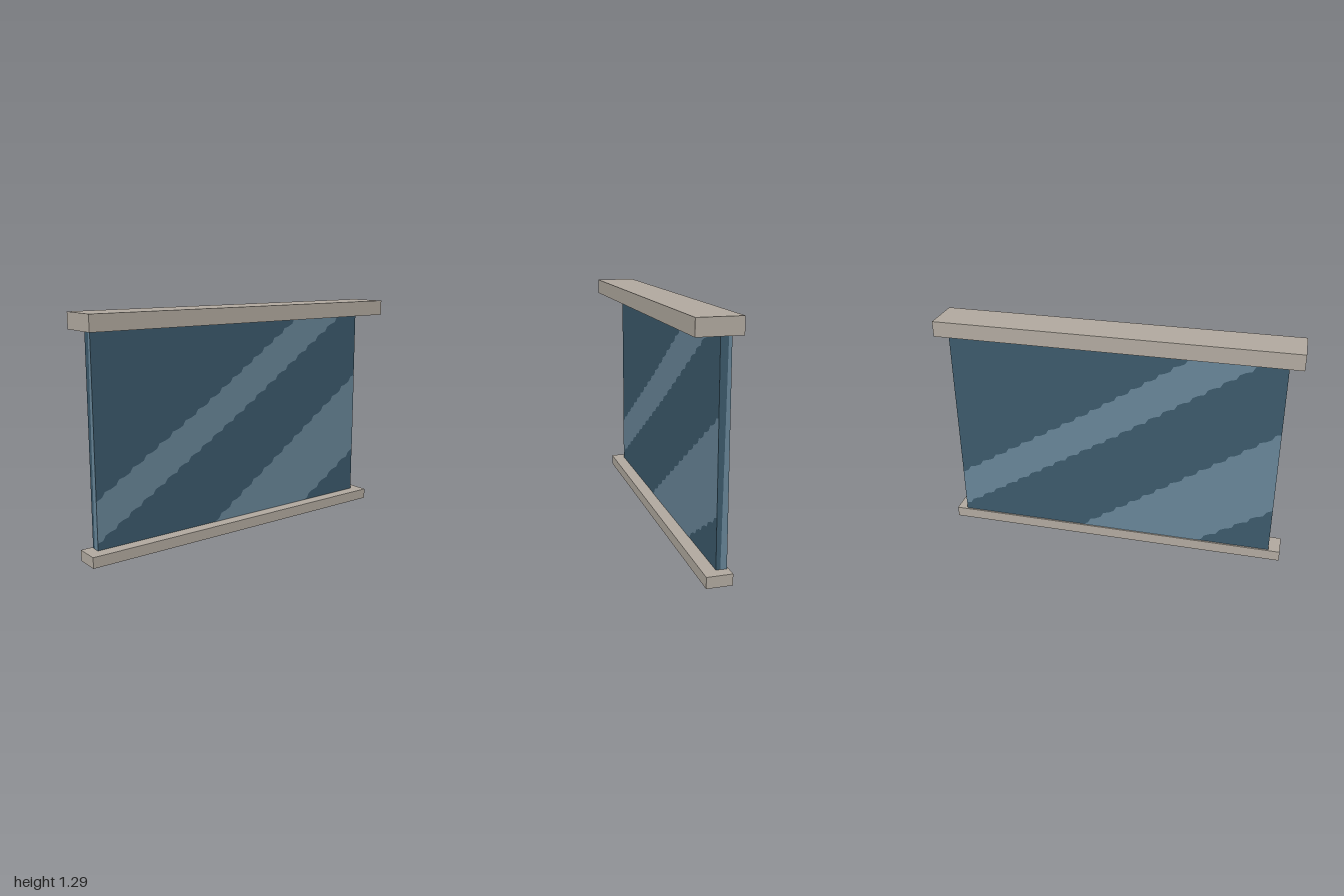
import * as THREE from 'three';

const stone = new THREE.MeshStandardMaterial({ color: 0xb3aba1 });
stone.name = 'warm grey frame';
const darkGlass = new THREE.MeshStandardMaterial({ color: 0x3c5a6c });
darkGlass.name = 'dark blue glass';
const lightGlass = new THREE.MeshStandardMaterial({ color: 0x688699 });
lightGlass.name = 'light blue reflection';

const W = 0.925, Y0 = 0.06, Y1 = 1.205; // pane half width, bottom, top
const ZF = -0.03, ZB = -0.086, LIFT = 0.0015;

// Box given by its limits on each axis
function box(name, mat, [x0, x1], [y0, y1], [z0, z1]) {
  const mesh = new THREE.Mesh(new THREE.BoxGeometry(x1 - x0, y1 - y0, z1 - z0), mat);
  mesh.position.set((x0 + x1) / 2, (y0 + y1) / 2, (z0 + z1) / 2);
  mesh.name = name;
  return mesh;
}

// Softly stepped line from a to b, without its end point
function stepped(a, b) {
  const n = Math.max(1, Math.round(Math.abs(b[0] - a[0]) / 0.08));
  const dx = (b[0] - a[0]) / n, dy = (b[1] - a[1]) / n;
  const pts = [];
  for (let i = 0; i < n; i++) {
    const x = a[0] + dx * i, y = a[1] + dy * i;
    pts.push([x, y], [x + dx * 0.4, y + dy * 0.15], [x + dx * 0.6, y + dy * 0.7]);
  }
  return pts;
}

function flatShape(points) {
  return new THREE.ShapeGeometry(new THREE.Shape(points.map(p => new THREE.Vector2(...p))));
}

// Diagonal reflections, drawn counter-clockwise: lower edge, then upper edge back
const upperBand = flatShape([
  ...stepped([-W, 0.1], [0, 0.68]), ...stepped([0, 0.68], [0.79, Y1]), [0.79, Y1],
  ...stepped([0.44, Y1], [-0.17, 0.795]), ...stepped([-0.17, 0.795], [-W, 0.325]), [-W, 0.325],
]);
const lowerBand = flatShape([
  ...stepped([0.5, Y0], [W, 0.33]), [W, 0.33],
  ...stepped([W, 0.815], [-0.18, Y0]), [-0.18, Y0],
]);

// Narrow reflection along the pane's end
const endBand = flatShape([[-0.052, Y0], [-0.07, Y1], [ZB, Y1], [ZB, Y0]].map(([z, y]) => [-z, y]).reverse());

export function createModel() {
  const model = new THREE.Group();
  model.name = 'window';
  model.add(
    box('topBeam', stone, [-1, 1], [Y1, 1.292], [-0.116, 0.116]),
    box('sill', stone, [-0.99, 0.985], [0, Y0], [-0.096, 0.04]),
    box('glassPane', darkGlass, [-W, W], [Y0, Y1], [ZB, ZF]),
  );

  // Reflections turn with the pane, so front and back read alike
  const middle = (ZF + ZB) / 2;
  for (const [side, turn] of [['front', 0], ['back', Math.PI]]) {
    const group = new THREE.Group();
    group.name = side + 'Reflections';
    group.position.z = middle;
    group.rotation.y = turn;
    for (const [name, geometry] of [['upperBand', upperBand], ['lowerBand', lowerBand]]) {
      const mesh = new THREE.Mesh(geometry, lightGlass);
      mesh.name = name;
      mesh.position.z = (ZF - ZB) / 2 + LIFT;
      group.add(mesh);
    }
    const end = new THREE.Mesh(endBand, lightGlass);
    end.name = 'endBand';
    end.rotation.y = Math.PI / 2;
    end.position.set(W + LIFT, 0, -middle);
    group.add(end);
    model.add(group);
  }
  return model;
}
